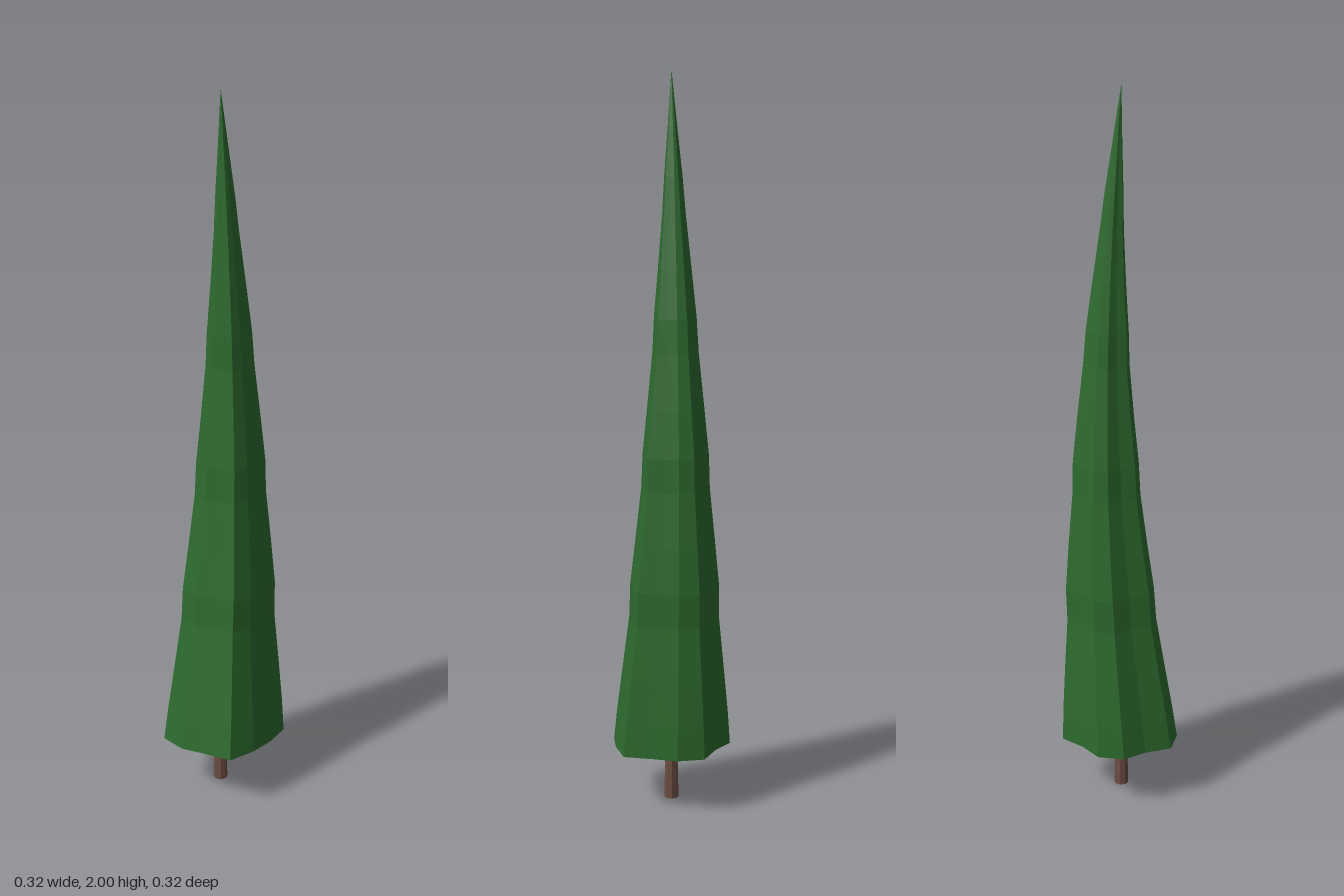
import * as THREE from 'three';

const BASE = 0.165, TOP = 2, SIDES = 14;
// lobed outline, radii from the back (-z) round to the front, mirrored in x
const LOBES = [0.164, 0.143, 0.172, 0.161, 0.152, 0.182, 0.162];

// one lobed ring of foliage; the middle of the tree bows towards +x
function ring(t, swell) {
  const bow = Math.sin(Math.PI * t), k = (1 - t) * swell;
  return Array.from({ length: SIDES }, (_, i) => {
    const r = LOBES[i < 7 ? i : 13 - i] * k;
    const a = ((i + 0.5) / SIDES) * Math.PI * 2;
    return [Math.sin(a) * r + 0.04 * bow, BASE + (TOP - BASE) * t, -Math.cos(a) * r - 0.007 * bow];
  });
}

function foliageGeometry() {
  // five tiers, each pinching in slightly at its upper end
  const rings = [ring(0, 1)];
  for (let tier = 0; tier < 5; tier++) {
    for (const [f, swell] of [[0.25, 1], [0.6, 0.98], [1, 0.95]]) {
      const t = (tier + f) / 5;
      if (t < 0.999) rings.push(ring(t, swell));
    }
  }
  const pos = [];
  const tri = (a, b, c) => pos.push(...a, ...b, ...c);
  const last = rings[rings.length - 1];
  for (let i = 0; i < SIDES; i++) {
    const j = (i + 1) % SIDES;
    for (let n = 0; n < rings.length - 1; n++) {
      const lo = rings[n], hi = rings[n + 1];
      tri(lo[i], hi[i], hi[j]);
      tri(lo[i], hi[j], lo[j]);
    }
    tri(last[i], [0, TOP, 0], last[j]);
    tri(rings[0][i], rings[0][j], [0, BASE, 0]);
  }
  const g = new THREE.BufferGeometry();
  g.setAttribute('position', new THREE.Float32BufferAttribute(pos, 3));
  g.computeVertexNormals();
  return g;
}

export function createModel() {
  const green = new THREE.MeshStandardMaterial({ color: 0x2d6a2e });
  green.name = 'foliage green';
  green.flatShading = true;
  const brown = new THREE.MeshStandardMaterial({ color: 0x6b4c41 });
  brown.name = 'bark brown';
  brown.flatShading = true;

  const tree = new THREE.Group();
  tree.name = 'cypressTree';

  const foliage = new THREE.Mesh(foliageGeometry(), green);
  foliage.name = 'foliage';

  const trunk = new THREE.Mesh(new THREE.CylinderGeometry(0.016, 0.02, 0.18, 8), brown);
  trunk.name = 'trunk';
  trunk.position.y = 0.09;

  tree.add(foliage, trunk);
  return tree;
}
